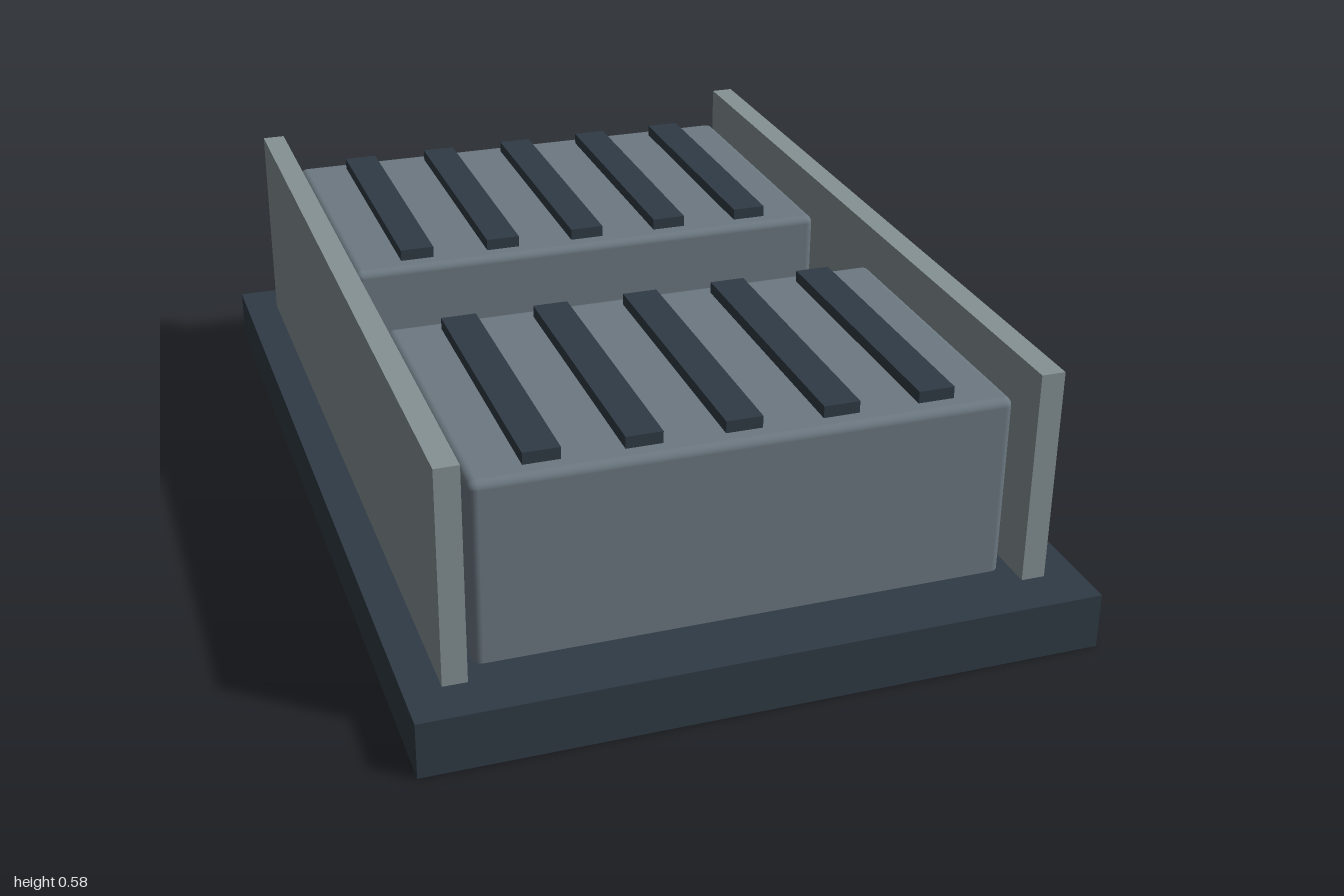
import * as THREE from 'three';
import { RoundedBoxGeometry } from 'three/addons/geometries/RoundedBoxGeometry.js';

export function createModel() {
  const model = new THREE.Group();
  model.name = 'batteryTray';

  const dark = new THREE.MeshStandardMaterial({ color: 0x303b45 });
  const steel = new THREE.MeshStandardMaterial({ color: 0x6c7881 });
  const pale = new THREE.MeshStandardMaterial({ color: 0x859195 });

  const add = (parent, name, geometry, material, x, y, z) => {
    const mesh = new THREE.Mesh(geometry, material);
    mesh.name = name;
    mesh.position.set(x, y, z);
    parent.add(mesh);
    return mesh;
  };

  // Base plate
  add(model, 'basePlate', new THREE.BoxGeometry(1.4, 0.12, 2), dark, 0, 0.06, 0);

  // Side rails standing on the plate
  const railGeometry = new THREE.BoxGeometry(0.05, 0.46, 1.8);
  for (const [name, side] of [['leftRail', 1], ['rightRail', -1]]) {
    add(model, name, railGeometry, pale, side * 0.6, 0.35, 0);
  }

  // Two rounded blocks, slightly sunk into the plate, each with five top ribs
  const blockGeometry = new RoundedBoxGeometry(1.1, 0.42, 0.7, 3, 0.018);
  const ribGeometry = new THREE.BoxGeometry(0.075, 0.035, 0.62);
  for (const [name, z] of [['frontModule', 0.5], ['backModule', -0.5]]) {
    const unit = new THREE.Group();
    unit.name = name;
    unit.position.z = z;
    add(unit, 'block', blockGeometry, steel, 0, 0.3, 0);
    for (let i = -2; i <= 2; i++) {
      add(unit, 'coolingRib', ribGeometry, dark, i * 0.2, 0.5175, 0);
    }
    model.add(unit);
  }

  return model;
}
